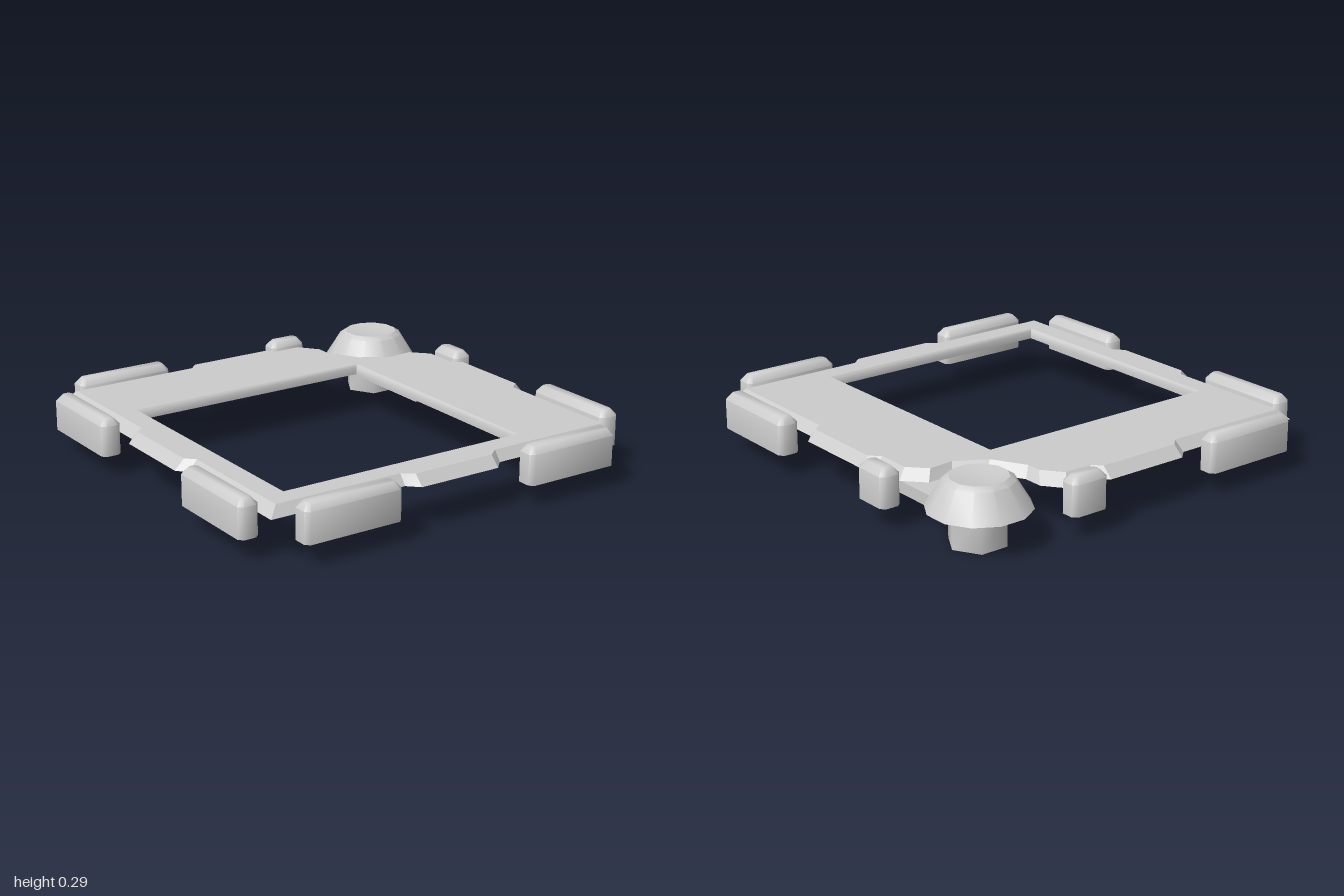
import * as THREE from 'three';
import { toCreasedNormals } from 'three/addons/utils/BufferGeometryUtils.js';

const solid = new THREE.MeshStandardMaterial({ color: 0xcccccc });
const shell = new THREE.MeshStandardMaterial({ color: 0xcccccc, side: THREE.DoubleSide });

// Skin a stack of [x, z] rings, listed from bottom to top at the given heights
function loft(rings, heights, capped, crease) {
  const pos = [];
  const tri = (...pts) => pts.forEach(p => pos.push(...p));
  const at = (r, i) => {
    const [x, z] = rings[r][i % rings[r].length];
    return [x, heights[r], z];
  };
  const n = rings[0].length, last = rings.length - 1;
  for (let i = 0; i < n; i++) {
    for (let r = 0; r < last; r++) {
      tri(at(r, i), at(r + 1, i), at(r, i + 1));
      tri(at(r, i + 1), at(r + 1, i), at(r + 1, i + 1));
    }
    if (capped) {
      if (i > 0 && i < n - 1) {
        tri(at(last, 0), at(last, i + 1), at(last, i));
        tri(at(0, 0), at(0, i), at(0, i + 1));
      }
    }
  }
  const g = new THREE.BufferGeometry();
  g.setAttribute('position', new THREE.Float32BufferAttribute(pos, 3));
  return toCreasedNormals(g, crease);
}

// Rectangle with cut corners, inset by d
function cutRect(x0, x1, z0, z1, d, c) {
  x0 += d; x1 -= d; z0 += d; z1 -= d;
  return [[x0, z0 + c], [x0 + c, z0], [x1 - c, z0], [x1, z0 + c],
    [x1, z1 - c], [x1 - c, z1], [x0 + c, z1], [x0, z1 - c]];
}

export function createModel() {
  const model = new THREE.Group();
  const add = (name, geometry, material = solid) => {
    const m = new THREE.Mesh(geometry, material);
    m.name = name;
    model.add(m);
    return m;
  };

  // Frame outlines: lower rim and the top edge of its bevel, with a notch at the back corner
  const rim = [
    [-0.905, -0.905], [-0.25, -0.905], [-0.2, -0.95], [0.2, -0.95], [0.25, -0.905], [0.41, -0.905],
    [0.475, -0.82], [0.475, -0.73], [0.56, -0.575], [0.69, -0.505], [0.81, -0.51], [0.895, -0.42],
    [0.895, -0.25], [0.94, -0.2], [0.94, 0.2], [0.895, 0.25], [0.895, 0.89],
    [0.25, 0.89], [0.2, 0.94], [-0.2, 0.94], [-0.25, 0.89], [-0.905, 0.89],
    [-0.905, 0.25], [-0.945, 0.2], [-0.945, -0.2], [-0.905, -0.25]];
  const edge = [
    [-0.86, -0.86], [-0.24, -0.86], [-0.2, -0.9], [0.2, -0.9], [0.24, -0.86], [0.37, -0.86],
    [0.44, -0.77], [0.44, -0.7], [0.525, -0.55], [0.66, -0.47], [0.78, -0.48], [0.855, -0.4],
    [0.855, -0.24], [0.9, -0.2], [0.9, 0.2], [0.855, 0.24], [0.855, 0.855],
    [0.25, 0.855], [0.2, 0.895], [-0.2, 0.895], [-0.25, 0.855], [-0.86, 0.855],
    [-0.86, 0.24], [-0.9, 0.2], [-0.9, -0.2], [-0.86, -0.24]];
  const window_ = d => [[-0.76 + d, -0.465 + d], [-0.76 + d, 0.755 - d],
    [0.455 - d, 0.755 - d], [0.455 - d, -0.465 + d]];

  const toShape = pts => pts.map(([x, z]) => new THREE.Vector2(x, -z));
  const plate = new THREE.Shape(toShape(edge));
  plate.holes.push(new THREE.Path(toShape(window_(0))));
  add('frameTop', new THREE.ShapeGeometry(plate).rotateX(-Math.PI / 2).translate(0, 0.243, 0), shell);
  add('frameBevel', loft([rim, edge], [0.197, 0.243], false, 0.3), shell);
  add('windowLip', loft([window_(0.012), window_(0.012), window_(0)], [0.197, 0.232, 0.243], false, 0.9), shell);

  // Bumper blocks round the sides: x0, x1, z0, z1
  const bumpers = [
    [-0.81, -0.335, -1, -0.905], [0.255, 0.44, -1, -0.905],
    [-0.81, -0.335, 0.9, 1], [0.335, 0.81, 0.9, 1],
    [-1, -0.905, -0.815, -0.34], [-1, -0.905, 0.33, 0.81],
    [0.9, 1, 0.33, 0.81], [0.9, 1, -0.445, -0.26]];
  for (const b of bumpers) {
    add('bumper', loft([cutRect(...b, 0, 0.02), cutRect(...b, 0, 0.02), cutRect(...b, 0.025, 0.012)],
      [0.1, 0.24, 0.27], true, 0.95));
  }

  // Corner knob: twelve-sided cap with a shallow dish, on a six-sided stem
  const profile = [[0, 0.158], [0.227, 0.158], [0.153, 0.278], [0.127, 0.295], [0.07, 0.288], [0, 0.283]]
    .map(p => new THREE.Vector2(...p));
  const cap = new THREE.LatheGeometry(profile, 12, Math.PI / 12);
  add('knobCap', toCreasedNormals(cap, 0.55)).position.set(0.747, 0, -0.765);
  const stem = new THREE.CylinderGeometry(0.13, 0.13, 0.17, 6, 1, false, Math.PI / 6);
  add('knobStem', toCreasedNormals(stem, 1.1)).position.set(0.75, 0.085, -0.758);

  // Arm that carries the knob under the frame
  add('knobArm', new THREE.BoxGeometry(0.23, 0.055, 0.5)).position.set(0.717, 0.128, -0.43);

  return model;
}
